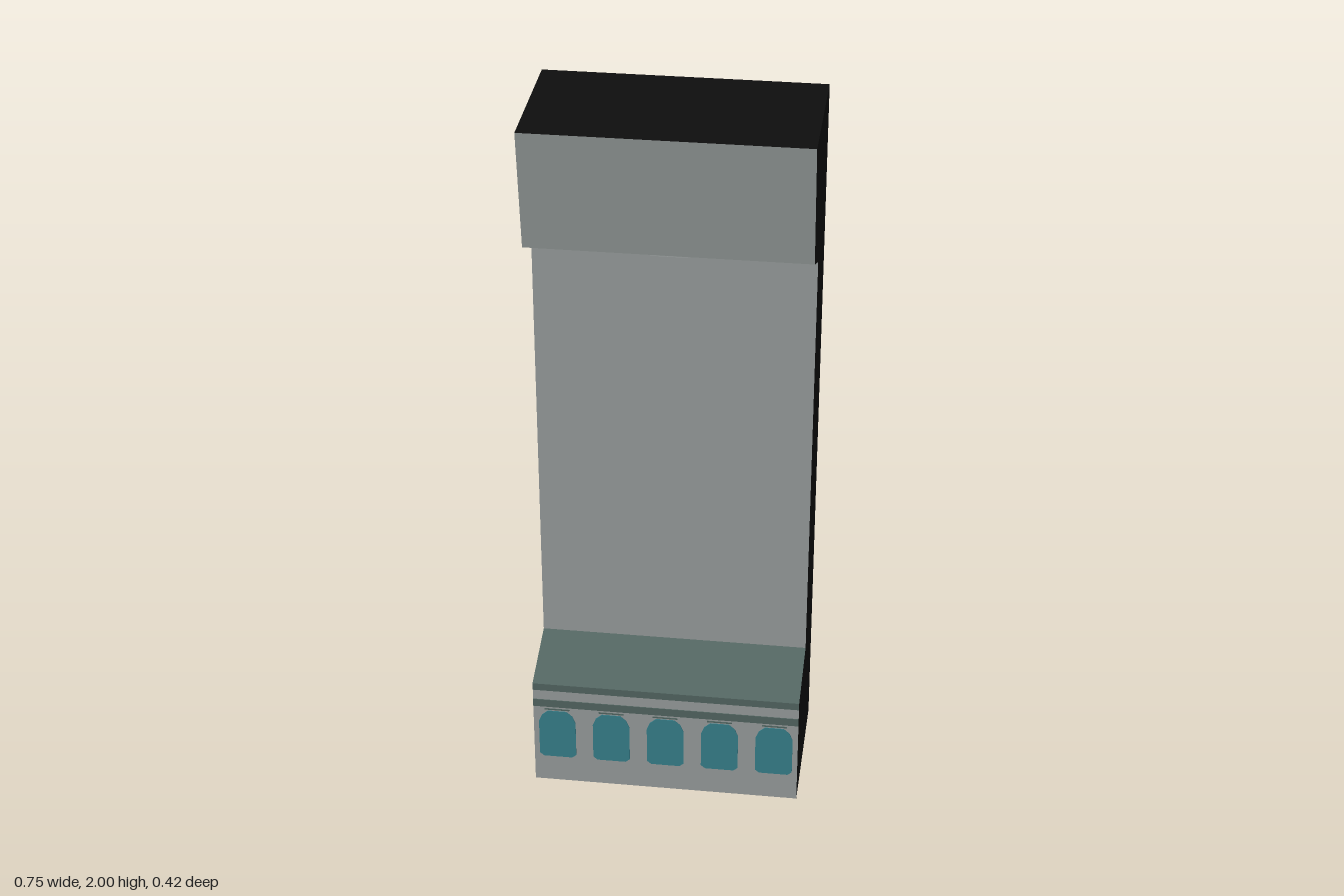
import * as THREE from 'three';

const HALF = 0.373;

function material(name, color) {
  const m = new THREE.MeshStandardMaterial({ color, side: THREE.DoubleSide });
  m.name = name;
  return m;
}

// Flat four-sided panel; a and b are [z, y] of its first and second edge
function panel(a, b, wa = HALF, wb = wa) {
  const g = new THREE.BufferGeometry();
  g.setAttribute('position', new THREE.Float32BufferAttribute([
    -wa, a[1], a[0], wa, a[1], a[0], wb, b[1], b[0], -wb, b[1], b[0],
  ], 3));
  g.setIndex([0, 1, 2, 0, 2, 3]);
  g.computeVertexNormals();
  return g;
}

export function createModel() {
  const group = new THREE.Group();
  const wall = material('wall grey', 0x999f9e);
  const trim = material('trim green', 0x546763);
  const dark = material('shell black', 0x0e0e0e);
  const glass = material('window teal', 0x38818d);

  const add = (name, geometry, mat) => {
    const mesh = new THREE.Mesh(geometry, mat);
    mesh.name = name;
    group.add(mesh);
    return mesh;
  };

  // Side outline as [z, y], from the front foot up and over to the back foot
  const profile = [
    [0.206, 0], [0.206, 0.335], [0.014, 0.386], [0.014, 1.604],
    [0.14, 1.661], [0.188, 2], [-0.208, 2], [-0.208, 0],
  ];
  const faces = [
    ['basePanel', wall], ['baseLedge', trim], ['mainPanel', wall],
    ['canopyUnderside', trim], ['canopyPanel', wall], ['roof', dark], ['back', dark],
  ];
  faces.forEach(([name, mat], i) => add(name, panel(profile[i], profile[i + 1]), mat));

  // Sides; the bottom stays open
  const outline = new THREE.Shape(profile.map(([z, y]) => new THREE.Vector2(z, y)));
  for (const s of [-1, 1]) {
    const side = add(s > 0 ? 'leftSide' : 'rightSide',
      new THREE.ShapeGeometry(outline).rotateY(-Math.PI / 2), dark);
    side.position.x = s * HALF;
  }

  // Thin bands across the base, visible from both faces of the panel
  const plate = (name, x, y0, y1, w) => {
    add(name, new THREE.BoxGeometry(w, y1 - y0, 0.004), trim)
      .position.set(x, (y0 + y1) / 2, 0.206);
  };
  plate('upperBand', 0, 0.313, 0.335, 2 * HALF);
  plate('lowerBand', 0, 0.257, 0.281, 2 * HALF);

  // Row of five windows with chamfered heads and small lintels
  const half = [[0.04, 0.084], [0.052, 0.094], [0.052, 0.205], [0.043, 0.228], [0.026, 0.243]];
  const pane = new THREE.Shape([
    ...half.map(([x, y]) => new THREE.Vector2(x, y)),
    ...half.slice().reverse().map(([x, y]) => new THREE.Vector2(-x, y)),
  ]);
  const paneGeometry = new THREE.ExtrudeGeometry(pane, { depth: 0.004, bevelEnabled: false });
  for (let i = -2; i <= 2; i++) {
    add('window', paneGeometry, glass).position.set(i * 0.153, 0, 0.204);
    plate('lintel', i * 0.153, 0.247, 0.251, 0.07);
  }

  // Small plate beneath the canopy lip
  add('canopyPlate', panel([0.107, 1.643], [0.141, 1.659], 0.035, 0.06), wall);

  return group;
}
